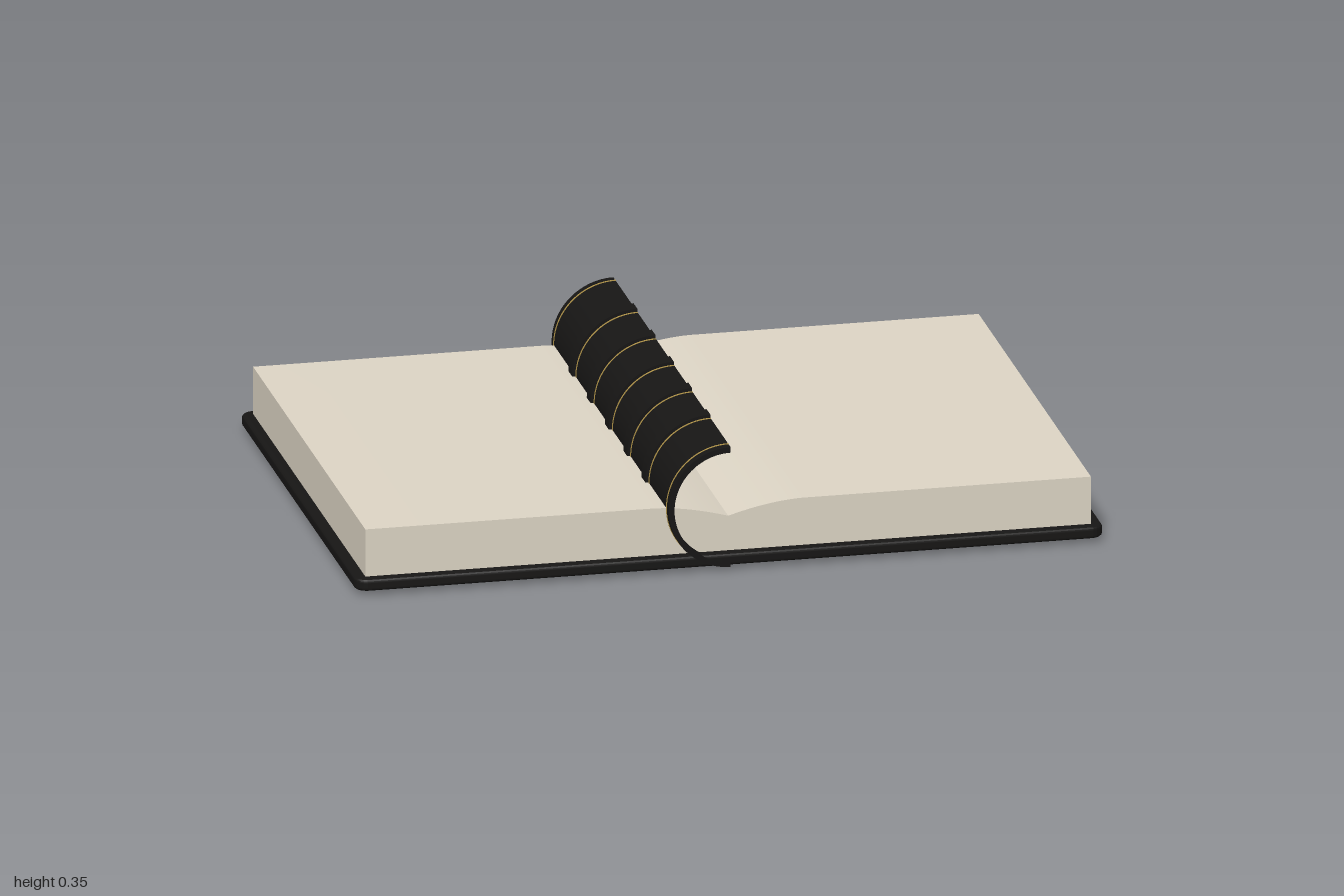
import * as THREE from 'three';
import { toCreasedNormals } from 'three/addons/utils/BufferGeometryUtils.js';

const leather = new THREE.MeshStandardMaterial({ color: 0x171615 });
const paper = new THREE.MeshStandardMaterial({ color: 0xddd5c5 });
const gold = new THREE.MeshStandardMaterial({ color: 0xb09348 });

const SPINE_Y = 0.174;
const SPINE_R = 0.165;

function add(parent, name, geometry, material) {
  const mesh = new THREE.Mesh(geometry, material);
  mesh.name = name;
  parent.add(mesh);
  return mesh;
}

// Extrudes a shape along z, centred on z = 0, smooth on curves and sharp on edges
function extrude(shape, depth, bevel = 0) {
  const geometry = new THREE.ExtrudeGeometry(shape, {
    depth: depth - 2 * bevel, curveSegments: 32, steps: 1,
    bevelEnabled: bevel > 0, bevelSize: bevel, bevelThickness: bevel,
    bevelOffset: -bevel, bevelSegments: 3,
  });
  geometry.translate(0, 0, -depth / 2 + bevel);
  return toCreasedNormals(geometry, 0.4);
}

// Half tube opening towards +x
function halfRing(inner, outer, width) {
  const shape = new THREE.Shape();
  shape.absarc(0, 0, outer, Math.PI / 2, Math.PI * 1.5, false);
  shape.absarc(0, 0, inner, Math.PI * 1.5, Math.PI / 2, true);
  shape.closePath();
  return extrude(shape, width);
}

function roundedRect(w, h, r) {
  const x = w / 2, y = h / 2;
  const s = new THREE.Shape();
  s.absarc(x - r, y - r, r, 0, Math.PI / 2);
  s.absarc(-x + r, y - r, r, Math.PI / 2, Math.PI);
  s.absarc(-x + r, -y + r, r, Math.PI, Math.PI * 1.5);
  s.absarc(x - r, -y + r, r, Math.PI * 1.5, Math.PI * 2);
  s.closePath();
  return s;
}

export function createModel() {
  const book = new THREE.Group();
  book.name = 'openBook';

  // Cover board with rounded corners and rim
  const cover = add(book, 'cover', extrude(roundedRect(2, 1.4, 0.035), 0.032, 0.009), leather);
  cover.rotation.x = -Math.PI / 2;
  cover.position.y = 0.029;

  // Page block, dipping into the gutter
  const profile = new THREE.Shape();
  profile.moveTo(-0.97, 0.04);
  profile.lineTo(0.97, 0.04);
  profile.lineTo(0.97, 0.175);
  profile.lineTo(0.2, 0.175);
  profile.quadraticCurveTo(0.11, 0.173, 0, 0.14);
  profile.quadraticCurveTo(-0.11, 0.173, -0.2, 0.175);
  profile.lineTo(-0.97, 0.175);
  profile.closePath();
  add(book, 'pages', extrude(profile, 1.34), paper);

  // Curved spine with raised bands and gilt lines
  const spine = new THREE.Group();
  spine.name = 'spine';
  spine.position.y = SPINE_Y;
  book.add(spine);
  add(spine, 'spineShell', halfRing(0.15, SPINE_R, 1.4), leather);

  const bandGeometry = halfRing(SPINE_R - 0.004, 0.174, 0.046);
  const lineGeometry = halfRing(SPINE_R - 0.003, SPINE_R + 0.0015, 0.005);
  const lines = [-0.673, 0.673];
  for (let i = -2; i <= 2; i++) {
    const z = i * 0.218;
    add(spine, 'raisedBand', bandGeometry, leather).position.z = z;
    lines.push(z - 0.028, z + 0.028);
  }
  for (const z of lines) add(spine, 'giltLine', lineGeometry, gold).position.z = z;

  // Double gilt frame under the cover's -x half
  const frame = new THREE.Group();
  frame.name = 'giltFrame';
  frame.position.set(-0.525, 0.0128, 0);
  book.add(frame);
  for (const [w, d, t] of [[0.86, 1.31, 0.006], [0.83, 1.28, 0.004]]) {
    for (const side of [-1, 1]) {
      add(frame, 'giltEdge', new THREE.BoxGeometry(w + t, 0.002, t), gold).position.z = side * d / 2;
      add(frame, 'giltEdge', new THREE.BoxGeometry(t, 0.002, d + t), gold).position.x = side * w / 2;
    }
  }
  return book;
}
